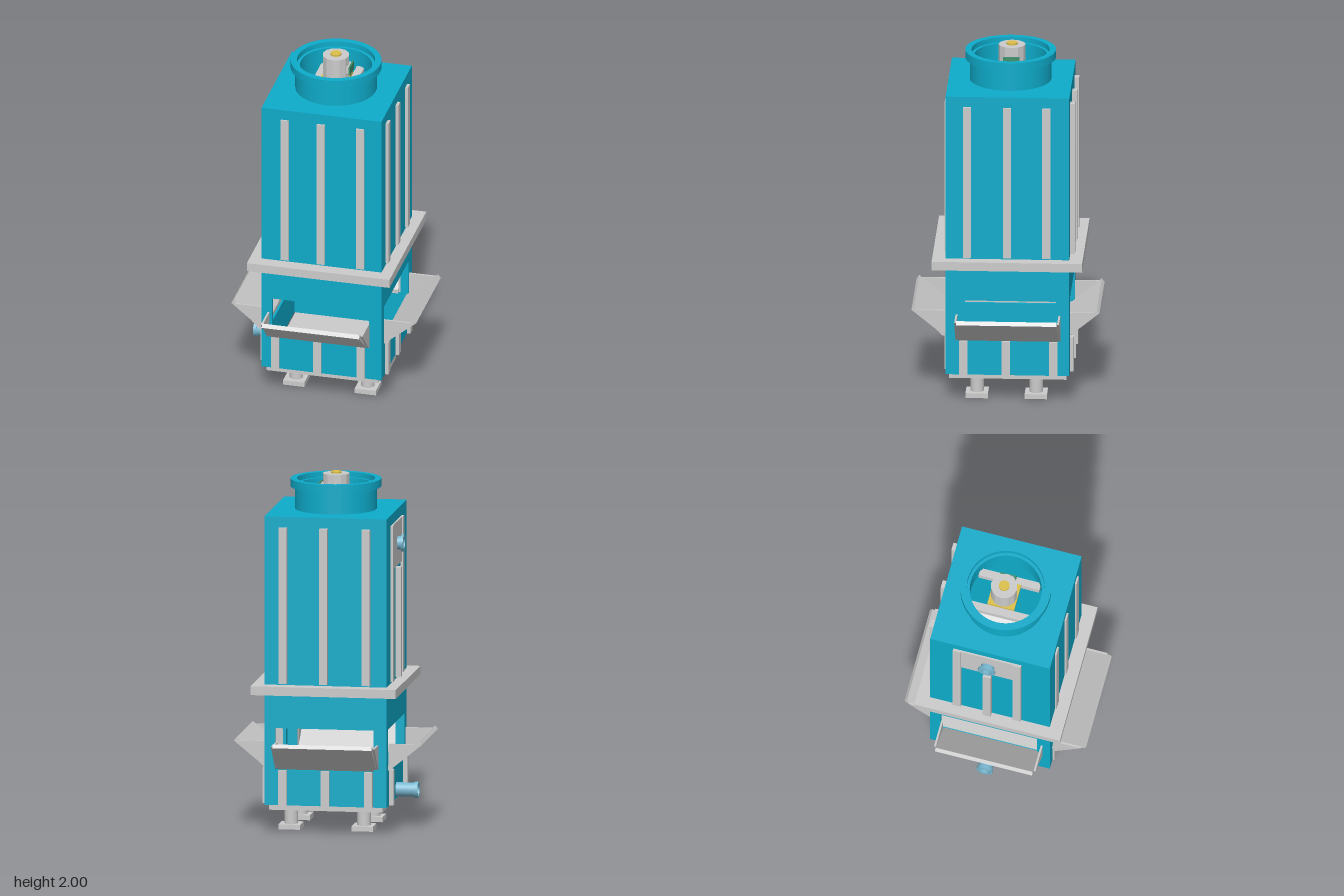
import * as THREE from 'three';

const mat = (color, flat = false) =>
  new THREE.MeshStandardMaterial({ color, flatShading: flat, side: THREE.DoubleSide });
const grey = mat(0xcccccc), blue = mat(0x0eaccb), paleBlue = mat(0x78b8d0);
const yellow = mat(0xdcc04a), green = mat(0x3f8f6b), greyFlat = mat(0xcccccc, true);

const HALF = 0.345; // half width of the square tower
const WALL = 0.02;

function add(parent, name, geometry, material, x = 0, y = 0, z = 0) {
  const mesh = new THREE.Mesh(geometry, material);
  mesh.name = name;
  mesh.position.set(x, y, z);
  parent.add(mesh);
  return mesh;
}

const box = (w, h, d) => new THREE.BoxGeometry(w, h, d);

function polygon(points) {
  return new THREE.Shape(points.map(([x, y]) => new THREE.Vector2(x, y)));
}

const rect = (x0, y0, x1, y1) => polygon([[x0, y0], [x1, y0], [x1, y1], [x0, y1]]);

function extrude(shape, depth) {
  return new THREE.ExtrudeGeometry(shape, { depth, bevelEnabled: false, curveSegments: 32 });
}

// Sheet lying flat, its underside at y = 0
const flatSheet = (shape, thickness) => extrude(shape, thickness).rotateX(-Math.PI / 2);

// Profile drawn as (outward, up), extruded sideways and centred
const sideways = (points, width) =>
  extrude(polygon(points), width).translate(0, 0, -width / 2).rotateY(-Math.PI / 2);

// Revolved profile with crisp edges: each segment gets its own lathe surface
function ring(parent, name, profile, material, segments, x, y, z) {
  const group = new THREE.Group();
  group.name = name;
  group.position.set(x, y, z);
  for (let i = 0; i < profile.length - 1; i++) {
    const pts = [profile[i], profile[i + 1]].map(([r, h]) => new THREE.Vector2(r, h));
    add(group, name + 'Surface', new THREE.LatheGeometry(pts, segments), material);
  }
  parent.add(group);
  return group;
}

// Sloping air inlet louver with two triangular cheeks
function louver(face, u, offset) {
  const group = new THREE.Group();
  group.name = 'louver';
  group.position.set(u, 0, HALF + offset);
  add(group, 'louverPanel',
    sideways([[-0.01, 0.36], [0.003, 0.36], [0.185, 0.508], [0.17, 0.528], [-0.01, 0.383]], 0.56), grey);
  for (const s of [-1, 1]) {
    add(group, 'louverCheek',
      sideways([[0, 0.365], [0.012, 0.365], [0.158, 0.512], [0, 0.512]], 0.011), grey, s * 0.287);
  }
  face.add(group);
}

function pipe(face, name, u, y, profile) {
  ring(face, name, profile, paleBlue, 24, u, y, HALF).rotation.x = Math.PI / 2;
}

export function createModel() {
  const model = new THREE.Group();
  model.name = 'coolingTower';
  const tower = new THREE.Group();
  tower.name = 'tower';
  tower.position.z = -0.02;
  model.add(tower);

  // Four sides; local z points outward, local x runs along the wall
  const sides = [
    { name: 'front', turn: 0, upper: [-0.21, -0.002, 0.223], lower: [-0.265, -0.022, 0.228],
      up: 0.01, low: 0.012, louver: -0.015, offset: 0.01 },
    { name: 'positiveX', turn: Math.PI / 2, upper: [-0.225, -0.002, 0.218], lower: [-0.245, -0.008, 0.257],
      up: 0.016, low: 0.02, louver: 0.003, offset: -0.003 },
    { name: 'back', turn: Math.PI, upper: [-0.238, -0.008, 0.232], lower: [-0.24, 0, 0.245],
      up: 0.027, low: 0.02, louver: 0.007, offset: -0.02 },
    { name: 'negativeX', turn: -Math.PI / 2, upper: [-0.188, 0.158], lower: [-0.23, 0.25],
      up: 0.015, low: 0.024, louver: 0.012, offset: 0.002 },
  ];
  for (const s of sides) {
    const face = new THREE.Group();
    face.name = s.name + 'Side';
    face.rotation.y = s.turn;
    tower.add(face);

    // Wall with the inlet window
    const wall = rect(-HALF, 0.16, HALF, 1.78);
    wall.holes.push(rect(-0.285, 0.36, 0.272, 0.595));
    add(face, 'wall', extrude(wall, WALL), blue, 0, 0, HALF - WALL);

    // Stiffening ribs above and below the collar
    for (const u of s.upper) add(face, 'upperRib', box(0.046, 0.88, s.up), grey, u, 1.29, HALF + s.up / 2);
    for (const u of s.lower) add(face, 'lowerRib', box(0.046, 0.2, s.low), grey, u, 0.26, HALF + s.low / 2);
    louver(face, s.louver, s.offset);

    // Service side: water inlet plate, short rib, inlet and outlet pipes
    if (s.name === 'negativeX') {
      add(face, 'shortRib', box(0.046, 0.62, 0.03), grey, -0.012, 1.16, HALF + 0.015);
      add(face, 'inletPlate', box(0.3, 0.25, 0.01), grey, -0.015, 1.605, HALF + 0.005);
      pipe(face, 'inletPipe', -0.01, 1.605,
        [[0.03, 0], [0.03, 0.045], [0.05, 0.045], [0.05, 0.032], [0.038, 0.032], [0.038, 0]]);
      pipe(face, 'outletPipe', 0, 0.21,
        [[0.033, -0.01], [0.033, 0.125], [0.046, 0.125], [0.046, 0.105], [0.04, 0.105], [0.04, -0.01]]);
    }
  }

  // Roof with the fan opening
  const roof = rect(-HALF, -HALF, HALF, HALF);
  roof.holes.push(new THREE.Path().absarc(0, 0, 0.205, 0, Math.PI * 2, true));
  add(tower, 'roof', flatSheet(roof, 0.02), blue, 0, 1.77, 0);

  // Collar around the tower
  const collar = rect(-0.41, -0.42, 0.41, 0.42);
  collar.holes.push(rect(-0.335, -0.335, 0.335, 0.335));
  add(tower, 'collar', flatSheet(collar, 0.05), grey, 0, 0.79, 0);

  // Fan shroud with a stepped rim
  ring(tower, 'fanShroud',
    [[0.228, 1.785], [0.228, 1.915], [0.253, 1.915], [0.253, 1.96], [0.218, 1.96],
      [0.218, 1.93], [0.201, 1.93], [0.201, 1.785]], blue, 48, -0.003, 0, 0);

  // Fan motor on two beams
  const motor = new THREE.Group();
  motor.name = 'fanMotor';
  motor.position.set(-0.006, 0, -0.008);
  tower.add(motor);
  for (const x of [-0.1, 0.1]) add(motor, 'motorBeam', box(0.045, 0.04, 0.35), grey, x, 1.82, 0.006);
  add(motor, 'motorMount', box(0.245, 0.015, 0.08), grey, 0, 1.832, 0);
  add(motor, 'motorPlate', box(0.155, 0.015, 0.155), yellow, 0, 1.848, 0);
  add(motor, 'motorHousing', new THREE.CylinderGeometry(0.075, 0.075, 0.135, 12), greyFlat, 0, 1.922, 0);
  add(motor, 'motorCap', new THREE.CylinderGeometry(0.03, 0.03, 0.012, 24), yellow, 0, 1.994, 0);
  add(motor, 'terminalNeck', box(0.02, 0.04, 0.07), grey, 0.075, 1.915, 0);
  add(motor, 'terminalBox', box(0.01, 0.05, 0.09), green, 0.088, 1.915, 0);

  // Base plate and feet
  add(tower, 'basePlate', box(0.64, 0.03, 0.655), grey, 0, 0.145, 0);
  for (const x of [-0.187, 0.224]) {
    for (const z of [0.175, -0.155]) {
      add(tower, 'leg', new THREE.CylinderGeometry(0.038, 0.038, 0.1, 24), grey, x, 0.08, z);
      add(tower, 'footPlate', box(0.122, 0.028, 0.125), grey, x, 0.016, z);
      add(tower, 'footPad', box(0.07, 0.006, 0.07), grey, x, 0.003, z);
    }
  }
  return model;
}
